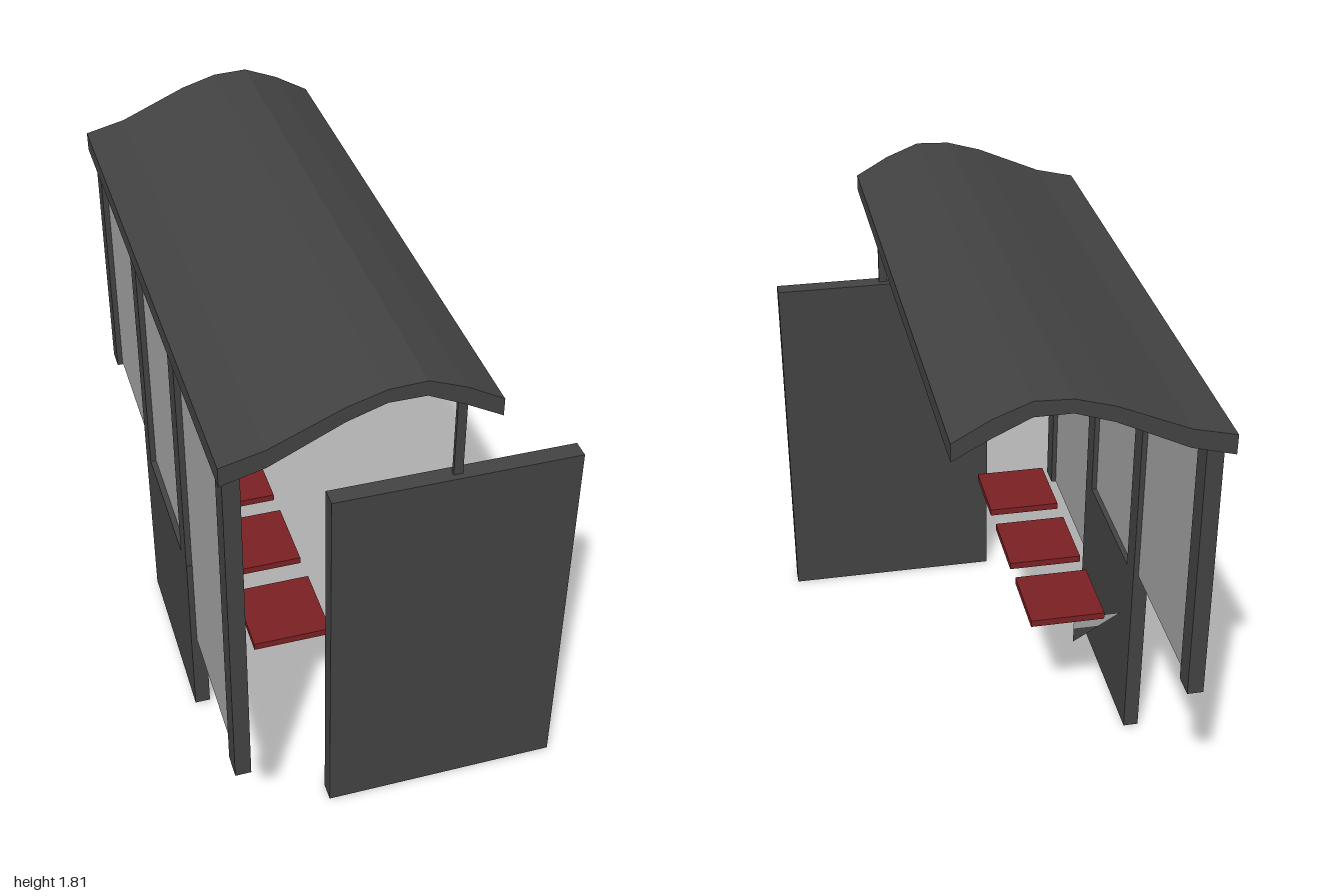
import * as THREE from 'three';

const mat = (name, color) => {
  const m = new THREE.MeshStandardMaterial({ color });
  m.name = name;
  return m;
};

export function createModel() {
  const group = new THREE.Group();
  const dark = mat('darkMetal', 0x424242);
  const glass = mat('greyGlass', 0xa2a1a1);
  const red = mat('redSeat', 0x7a2022);
  const darkSheet = mat('darkSheet', 0x424242);
  const paleSheet = mat('paleSheet', 0xa2a1a1);
  darkSheet.side = paleSheet.side = THREE.DoubleSide;

  const add = (name, geometry, material) => {
    const mesh = new THREE.Mesh(geometry, material);
    mesh.name = name;
    group.add(mesh);
    return mesh;
  };
  // Box given by its limits on each axis
  const box = (name, material, [x0, x1], [y0, y1], [z0, z1]) => {
    const g = new THREE.BoxGeometry(x1 - x0, y1 - y0, z1 - z0);
    g.translate((x0 + x1) / 2, (y0 + y1) / 2, (z0 + z1) / 2);
    return add(name, g, material);
  };
  const shapeOf = (pts) => new THREE.Shape(pts.map(([x, y]) => new THREE.Vector2(x, y)));

  // Curved roof, extruded along z: x, underside, top
  const section = [
    [-0.582, 1.575, 1.64], [-0.445, 1.612, 1.673], [-0.22, 1.72, 1.77], [-0.1, 1.76, 1.805],
    [0.015, 1.76, 1.81], [0.13, 1.705, 1.765], [0.245, 1.642, 1.7],
  ];
  const outline = [
    ...section.map(([x, low]) => [x, low]),
    ...section.slice().reverse().map(([x, , high]) => [x, high]),
  ];
  const roof = new THREE.ExtrudeGeometry(shapeOf(outline), { depth: 2, bevelEnabled: false });
  roof.translate(0, 0, -1);
  add('roof', roof, dark);

  // Rear wall: posts, lower panel and glazing
  const wallX = [-0.565, -0.512];
  box('frontPost', dark, wallX, [0.33, 1.595], [0.88, 0.962]);
  box('middlePost', dark, wallX, [0.68, 1.595], [0.25, 0.333]);
  box('middlePost', dark, wallX, [0.68, 1.595], [-0.333, -0.25]);
  box('lowerPanel', dark, wallX, [0.015, 0.685], [-0.333, 0.335]);

  // Far post leans slightly: shear its z with height
  const backPost = box('backPost', dark, wallX, [0.68, 1.595], [-0.965, -0.885]);
  const p = backPost.geometry.attributes.position;
  for (let i = 0; i < p.count; i++) p.setZ(i, p.getZ(i) + (p.getY(i) - 0.68) * 0.022);

  const glassX = [-0.545, -0.53];
  box('glassPane', glass, glassX, [0.33, 1.595], [0.333, 0.88]);
  box('glassPane', glass, glassX, [0.68, 1.595], [-0.25, 0.25]);
  box('glassPane', glass, glassX, [0.69, 1.595], [-0.885, -0.333]);

  // Seats
  for (const z of [0.5, 0.137, -0.217])
    box('seat', red, [-0.41, -0.148], [0.535, 0.56], [z - 0.133, z + 0.133]);

  // Thin stepped bracket below the rear seat
  const sheet = (name, material, pts) => {
    add(name, new THREE.ShapeGeometry(shapeOf(pts)), material).position.z = -0.205;
  };
  sheet('bracketArm', paleSheet, [[-0.512, 0.44], [-0.435, 0.392], [-0.34, 0.392], [-0.34, 0.44]]);
  sheet('bracketFoot', darkSheet, [[-0.435, 0.392], [-0.34, 0.333], [-0.34, 0.392]]);
  sheet('bracketStem', paleSheet, [[-0.34, 0.44], [-0.3, 0.473], [-0.3, 0.535], [-0.34, 0.535]]);
  sheet('bracketTop', darkSheet, [[-0.3, 0.473], [-0.225, 0.535], [-0.3, 0.535]]);

  // Display board and the thin pole holding the roof
  box('displayBoard', dark, [-0.222, 0.58], [0, 1.33], [0.82, 0.88]);
  box('roofPole', dark, [0.165, 0.195], [1.33, 1.69], [0.844, 0.858]);

  return group;
}
